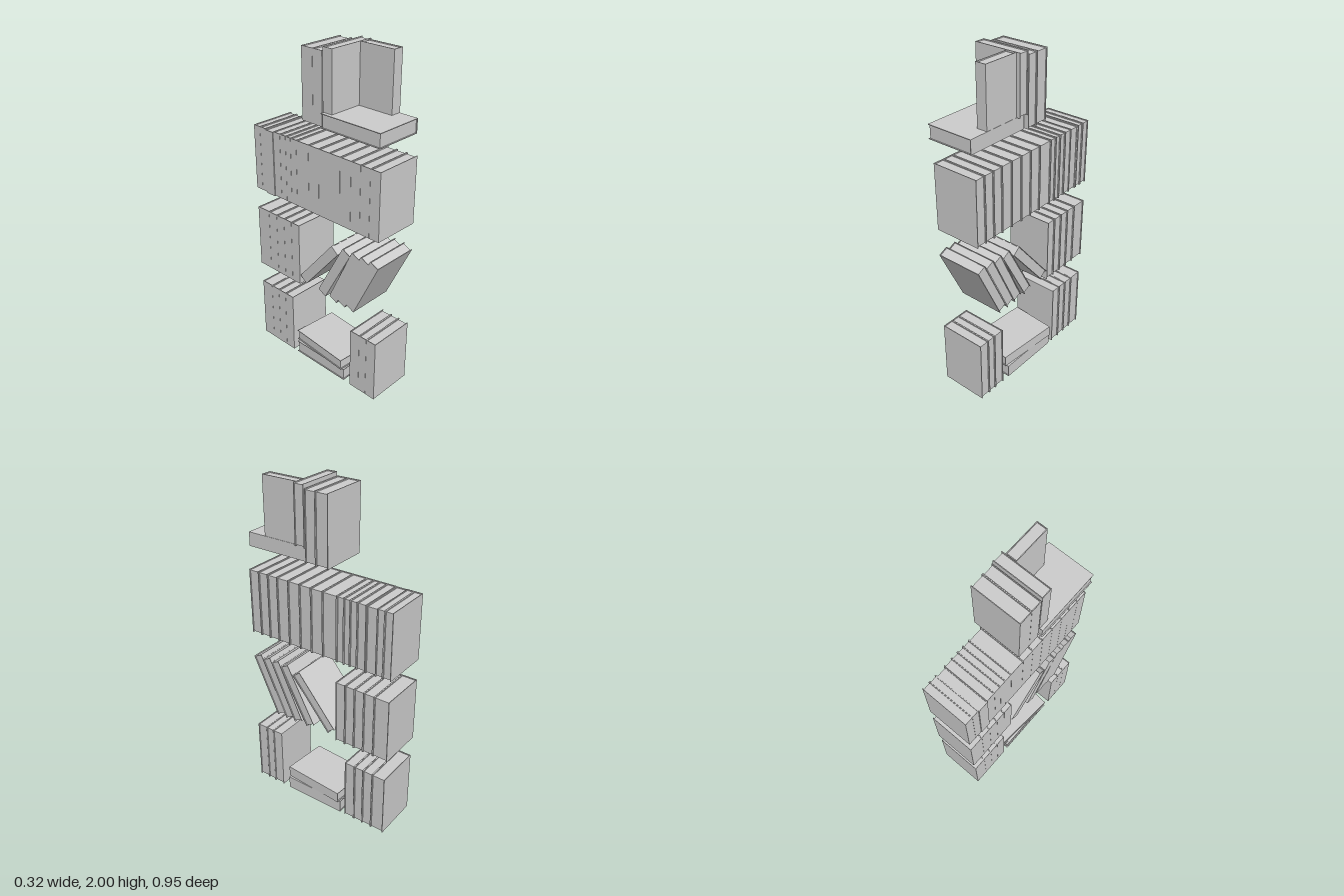
import * as THREE from 'three';

const COVER = 0.004;   // board thickness
const RECESS = 0.006;  // how far the pages sit inside the boards
const material = new THREE.MeshStandardMaterial({ color: 0xcccccc, flatShading: true });

function block(name, w, h, d, x, y, z) {
  const mesh = new THREE.Mesh(new THREE.BoxGeometry(w, h, d), material);
  mesh.name = name;
  mesh.position.set(x, y, z);
  return mesh;
}

// Closed book centred on its origin: thickness along z, spine on -x
function book(name, thickness, height = 0.396, width = 0.288) {
  const g = new THREE.Group();
  g.name = name;
  const inner = thickness - 2 * COVER;
  const side = (thickness - COVER) / 2;
  g.add(
    block('frontCover', width, height, COVER, 0, 0, side),
    block('backCover', width, height, COVER, 0, 0, -side),
    block('spine', COVER, height, inner, -(width - COVER) / 2, 0, 0),
    block('pages', width - COVER - RECESS, height - 2 * RECESS, inner, (COVER - RECESS) / 2, 0, 0)
  );
  return g;
}

// Upright row of books; edges lists the z boundaries from front to back
function uprightRow(name, bottom, edges, height = 0.396) {
  const row = new THREE.Group();
  row.name = name;
  for (let i = 0; i < edges.length - 1; i++) {
    const b = book('uprightBook', edges[i] - edges[i + 1] - 0.001, height);
    b.position.set(0, bottom + height / 2, (edges[i] + edges[i + 1]) / 2);
    row.add(b);
  }
  return row;
}

// Book lying flat with its spine on +x, turned by yaw
function flatBook(name, thickness, x, bottom, z, yaw = 0) {
  const turn = new THREE.Group();
  turn.name = name;
  const b = book('lyingBook', thickness, 0.396, 0.286);
  b.rotation.set(Math.PI / 2, 0, Math.PI);
  turn.add(b);
  turn.rotation.y = yaw;
  turn.position.set(x, bottom + thickness / 2, z);
  return turn;
}

export function createModel() {
  const model = new THREE.Group();
  model.name = 'shelvedBooks';

  // Lowest level: two upright rows with a flat pile between them
  model.add(
    uprightRow('lowestFrontRow', 0.002, [0.474, 0.407, 0.353, 0.284]),
    uprightRow('lowestBackRow', 0.002, [-0.193, -0.26, -0.32, -0.383, -0.467]),
    flatBook('pileLowerBook', 0.08, 0, 0.002, 0.037),
    flatBook('pileUpperBook', 0.067, 0, 0.083, 0.036, -0.075)
  );

  // Second level: leaning books and an upright row
  const leaning = new THREE.Group();
  leaning.name = 'leaningBooks';
  const leans = [[0.361, 25.2], [0.295, 25.2], [0.231, 25.2], [0.152, 28.3], [0.032, 39.8]];
  for (const [z, degrees] of leans) {
    const b = book('leaningBook', 0.061, 0.394);
    b.position.set(0, 0.729, z);
    b.rotation.x = THREE.MathUtils.degToRad(degrees);
    leaning.add(b);
  }
  model.add(
    leaning,
    uprightRow('secondBackRow', 0.531, [-0.124, -0.188, -0.25, -0.313, -0.38, -0.475])
  );

  // Third level: one full row, with a single book slightly out of line
  const fullRow = uprightRow('thirdFullRow', 1.057, [
    0.47, 0.403, 0.338, 0.272, 0.195, 0.117, 0.04, -0.037, -0.13,
    -0.175, -0.215, -0.26, -0.315, -0.38, -0.425, -0.476]);
  fullRow.children[12].position.x -= 0.004;
  fullRow.children[12].position.y -= 0.004;
  model.add(fullRow);

  // Top level: two upright books, a flat book and two smaller books on it
  model.add(
    uprightRow('topBackRow', 1.583, [0.07, 0.003, -0.076]),
    flatBook('topFlatBook', 0.081, -0.02, 1.583, 0.276),
    uprightRow('topSmallBook', 1.665, [0.138, 0.074], 0.335)
  );
  const turned = book('topTurnedBook', 0.063, 0.335, 0.22);
  turned.rotation.y = Math.PI / 2;
  turned.position.set(0.0915, 1.8325, 0.249);
  model.add(turned);

  return model;
}
